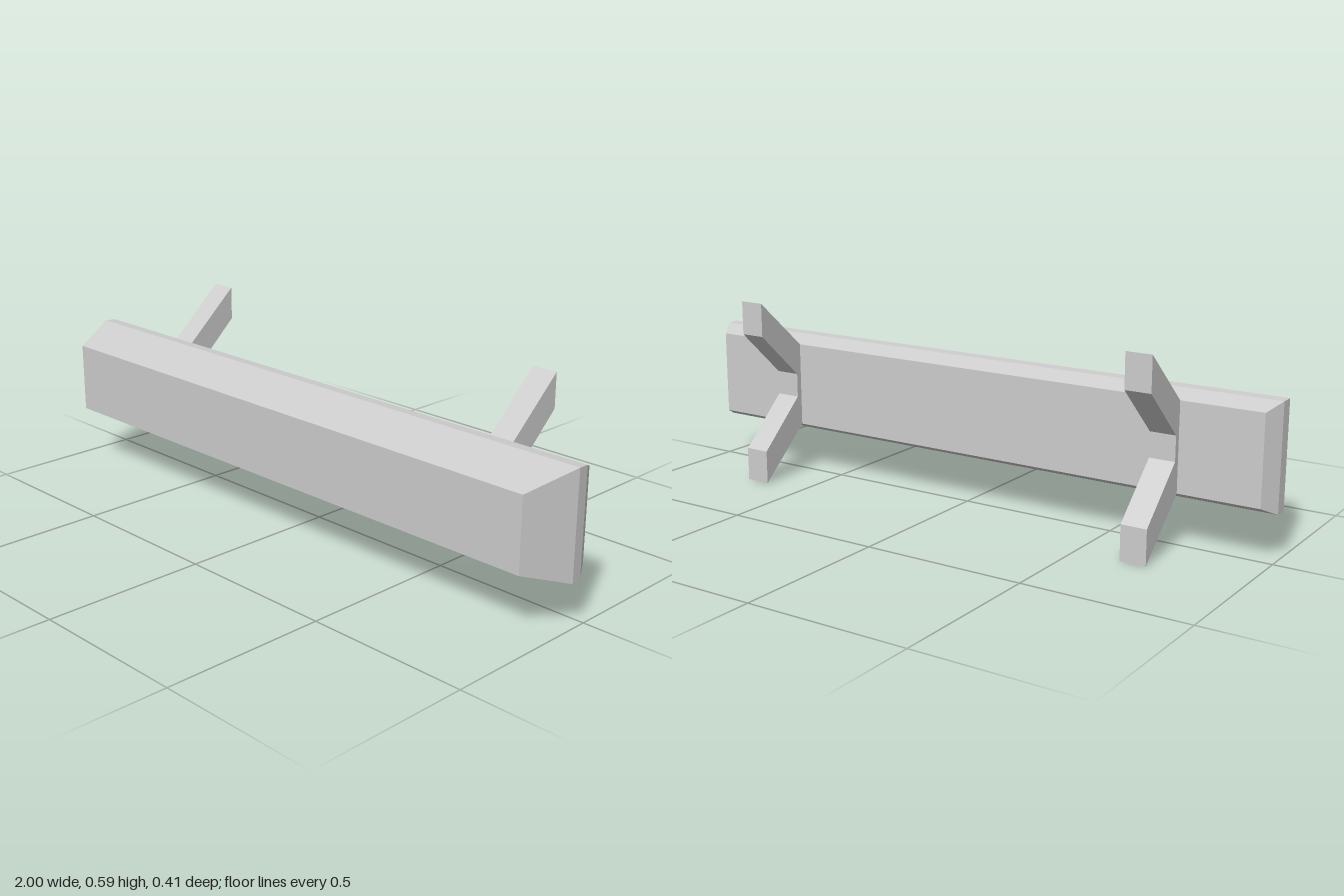
import * as THREE from 'three';

const MID_Y = 0.295; // height of the horizontal symmetry plane

// Cross-sections from back to front: [z, half width, half height]
const SECTIONS = [
  [-0.027, 0.968, 0.134],
  [0.025, 0.998, 0.159],
  [0.06, 1.0, 0.161],
  [0.207, 0.937, 0.111],
];

// Bevelled bar: a box whose rings are resized along z
function barGeometry() {
  const geometry = new THREE.BoxGeometry(2, 2, 1, 1, 1, SECTIONS.length - 1);
  const pos = geometry.attributes.position;
  for (let i = 0; i < pos.count; i++) {
    const ring = Math.round((pos.getZ(i) + 0.5) * (SECTIONS.length - 1));
    const [z, halfWidth, halfHeight] = SECTIONS[ring];
    pos.setXYZ(i, pos.getX(i) * halfWidth, MID_Y + pos.getY(i) * halfHeight, z);
  }
  geometry.computeVertexNormals();
  return geometry;
}

// Forked bracket: side profile mirrored about the middle, extruded across x
function bracketGeometry(width) {
  const upper = [[0.027, 0.134], [0.206, 0.294], [0.206, 0.188], [0.045, 0.038]];
  const lower = upper.map(([d, h]) => [d, -h]).reverse();
  const shape = new THREE.Shape(
    [...upper, ...lower].map(([d, h]) => new THREE.Vector2(d, MID_Y + h))
  );
  const geometry = new THREE.ExtrudeGeometry(shape, { depth: width, bevelEnabled: false });
  geometry.translate(0, 0, -width / 2);
  geometry.rotateY(Math.PI / 2);
  return geometry;
}

export function createModel() {
  const group = new THREE.Group();
  group.name = 'bumperBar';

  const grey = new THREE.MeshStandardMaterial({ color: 0xcccccc, flatShading: true });
  grey.name = 'light grey';

  const bar = new THREE.Mesh(barGeometry(), grey);
  bar.name = 'bar';
  group.add(bar);

  // Matching brackets on the back of the bar
  const geometry = bracketGeometry(0.08);
  for (const [name, x] of [['leftBracket', 0.68], ['rightBracket', -0.68]]) {
    const bracket = new THREE.Mesh(geometry, grey);
    bracket.name = name;
    bracket.position.x = x;
    group.add(bracket);
  }

  return group;
}
